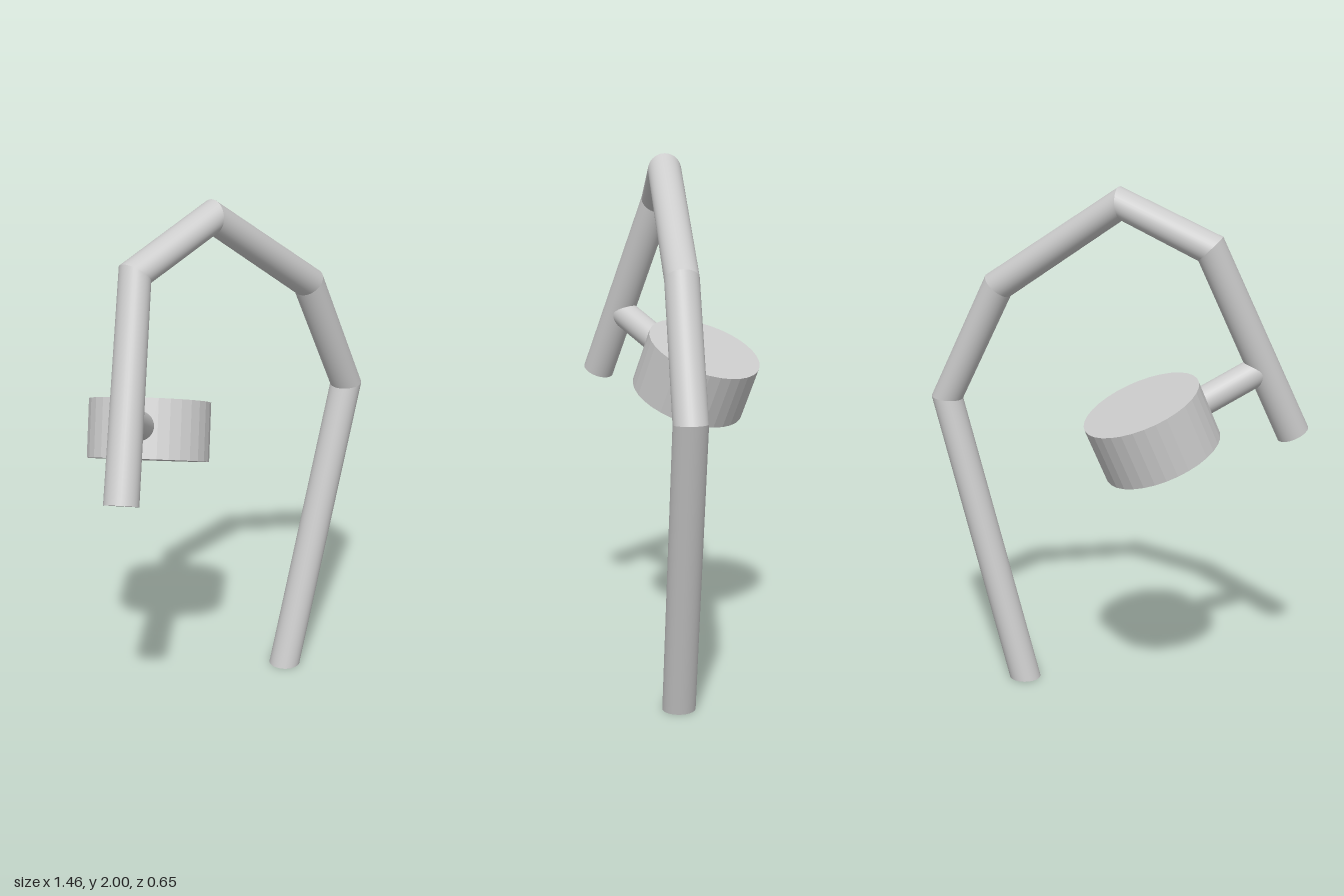
import * as THREE from 'three';
import { mergeVertices } from 'three/addons/utils/BufferGeometryUtils.js';

const V = (x, y, z) => new THREE.Vector3(x, y, z);
const SIDES = 32;
const TUBE_RADIUS = 0.0615;

// Ring of points around a centre, square to the tangent
function ring(center, tangent, radius) {
  const v = V(0, 0, 1).addScaledVector(tangent, -tangent.z).normalize();
  const u = v.clone().cross(tangent).normalize();
  return Array.from({ length: SIDES }, (_, i) => {
    const a = (i / SIDES) * Math.PI * 2;
    return center.clone().addScaledVector(u, Math.cos(a) * radius).addScaledVector(v, Math.sin(a) * radius);
  });
}

// Side wall between two rings
function wall(lower, upper) {
  const geo = new THREE.BufferGeometry().setFromPoints([...lower, ...upper]);
  const index = [];
  for (let i = 0; i < SIDES; i++) {
    const j = (i + 1) % SIDES;
    index.push(i, i + SIDES, j, j, i + SIDES, j + SIDES);
  }
  geo.setIndex(index);
  geo.computeVertexNormals();
  return geo;
}

// Flat disc closing a ring
function cap(points, center) {
  const geo = new THREE.BufferGeometry().setFromPoints([...points, center]);
  const index = [];
  for (let i = 0; i < SIDES; i++) index.push(SIDES, i, (i + 1) % SIDES);
  geo.setIndex(index);
  geo.computeVertexNormals();
  return geo;
}

// Cylinder centred between two points
function rod(a, b, radius, material) {
  const axis = b.clone().sub(a);
  const mesh = new THREE.Mesh(new THREE.CylinderGeometry(radius, radius, axis.length(), SIDES), material);
  mesh.position.copy(a).add(b).multiplyScalar(0.5);
  mesh.quaternion.setFromUnitVectors(V(0, 1, 0), axis.normalize());
  return mesh;
}

export function createModel() {
  const group = new THREE.Group();
  const smooth = new THREE.MeshStandardMaterial({ color: 0xcccccc, side: THREE.DoubleSide });
  const faceted = new THREE.MeshStandardMaterial({ color: 0xcccccc, flatShading: true });
  const add = (name, mesh) => { mesh.name = name; group.add(mesh); };

  // Bent pole: straight tube segments with sharp joints
  const path = [
    V(0.35, 0, 0.0615), V(0.67, 1.14, 0.0615), V(0.44, 1.6, 0.0615),
    V(-0.06, 1.94, 0.0615), V(-0.41, 1.8, 0.05), V(-0.675, 1.088, 0.265),
  ];
  const last = path.length - 1;
  const dirs = path.slice(1).map((p, i) => p.clone().sub(path[i]).normalize());
  const rings = path.map((p, i) => {
    const tangent = i === 0 ? V(0, 1, 0) // base is cut level with the floor
      : i === last ? dirs[last - 1]
      : dirs[i - 1].clone().add(dirs[i]).normalize();
    return ring(p, tangent, TUBE_RADIUS);
  });
  const pole = new THREE.Group();
  for (let i = 0; i < last; i++) {
    const segment = new THREE.Mesh(wall(rings[i], rings[i + 1]), smooth);
    segment.name = 'poleSegment' + (i + 1);
    pole.add(segment);
  }
  for (const [name, i] of [['poleFoot', 0], ['poleTip', last]]) {
    const end = new THREE.Mesh(cap(rings[i], path[i]), smooth);
    end.name = name;
    pole.add(end);
  }
  add('pole', pole);

  // Tilted drum head with faceted side
  const drumCenter = V(-0.243, 1.145, -0.082);
  const halfAxis = V(0.3, 0.915, -0.265).normalize().multiplyScalar(0.109);
  add('drumHead', rod(drumCenter.clone().sub(halfAxis), drumCenter.clone().add(halfAxis), 0.225, faceted));

  // Short arm from the hanging segment into the drum
  const armStart = V(-0.578, 1.35, 0.186);
  add('drumArm', rod(armStart, armStart.clone().lerp(drumCenter, 0.65), 0.054, smooth));

  return group;
}
